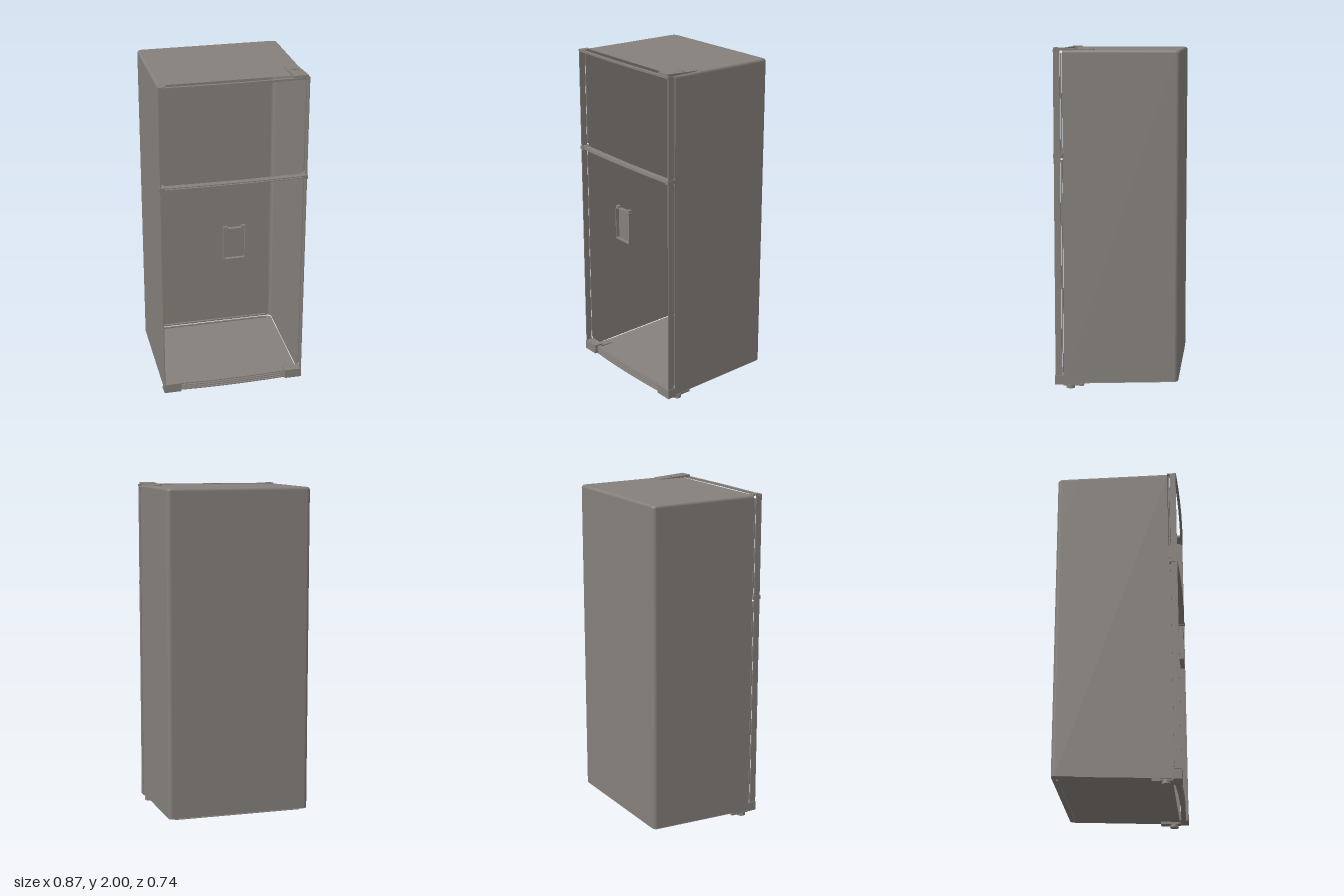
import * as THREE from 'three';

const HALF = 0.43, BACK = -0.368, FRONT = 0.305;
const grey = new THREE.MeshStandardMaterial({ color: 0x85807b, side: THREE.DoubleSide });
grey.name = 'warmGrey';

function add(parent, name, geometry, x = 0, y = 0, z = 0) {
  const mesh = new THREE.Mesh(geometry, grey);
  mesh.name = name;
  mesh.position.set(x, y, z);
  parent.add(mesh);
  return mesh;
}

const box = (w, h, d) => new THREE.BoxGeometry(w, h, d);

// U-shaped outline of the cabinet, open to the front, with round back corners
function outline(inset) {
  const r = 0.024, w = HALF - inset, b = BACK + inset;
  const points = [[-w, FRONT]];
  for (const [cx, start] of [[-w + r, Math.PI], [w - r, 1.5 * Math.PI]]) {
    for (let i = 0; i <= 6; i++) {
      const a = start + (i / 6) * Math.PI / 2;
      points.push([cx + r * Math.cos(a), b + r + r * Math.sin(a)]);
    }
  }
  points.push([w, FRONT]);
  return points;
}

const floorY = (z) => 0.045 - 0.045 * z;

// Thin cabinet walls, lofted upwards and curled in at the top edge
function wallGeometry() {
  const rows = [[null, 0], [1.97, 0], [1.978, 0.002], [1.984, 0.006], [1.986, 0.012]];
  const positions = [], index = [];
  let n = 0;
  for (const [y, inset] of rows) {
    const points = outline(inset);
    n = points.length;
    for (const [x, z] of points) positions.push(x, y ?? floorY(z), z);
  }
  for (let j = 0; j < rows.length - 1; j++) {
    for (let i = 0; i < n - 1; i++) {
      const a = j * n + i;
      index.push(a, a + n, a + 1, a + 1, a + n, a + n + 1);
    }
  }
  const g = new THREE.BufferGeometry();
  g.setAttribute('position', new THREE.Float32BufferAttribute(positions, 3));
  g.setIndex(index);
  g.computeVertexNormals();
  return g;
}

// Flat sheet filling the outline, at a height that may depend on z
function sheetGeometry(inset, height) {
  const shape = new THREE.Shape(outline(inset).map(([x, z]) => new THREE.Vector2(x, -z)));
  const g = new THREE.ShapeGeometry(shape).rotateX(-Math.PI / 2);
  const p = g.attributes.position;
  for (let i = 0; i < p.count; i++) p.setY(i, height(p.getZ(i)));
  g.computeVertexNormals();
  return g;
}

// Cross bar whose front bulges gently in the middle
function bowedBar(width, h, z0, z1, bow = 0.01) {
  const g = new THREE.BoxGeometry(width, h, z1 - z0, 16, 1, 1).translate(0, 0, (z0 + z1) / 2);
  const p = g.attributes.position;
  for (let i = 0; i < p.count; i++) {
    const t = p.getX(i) / (width / 2);
    p.setZ(i, p.getZ(i) + bow * (1 - t * t));
  }
  g.computeVertexNormals();
  return g;
}

function roundedPlate(w, h, r, depth, border) {
  const path = (target, x, y, rr) => {
    target.moveTo(-x + rr, -y);
    target.absarc(x - rr, -y + rr, rr, -Math.PI / 2, 0);
    target.absarc(x - rr, y - rr, rr, 0, Math.PI / 2);
    target.absarc(-x + rr, y - rr, rr, Math.PI / 2, Math.PI);
    target.absarc(-x + rr, -y + rr, rr, Math.PI, 1.5 * Math.PI);
    return target;
  };
  const shape = path(new THREE.Shape(), w / 2, h / 2, r);
  shape.holes.push(path(new THREE.Path(), w / 2 - border, h / 2 - border, r * 0.6));
  return new THREE.ExtrudeGeometry(shape, { depth, bevelEnabled: false, curveSegments: 4 });
}

export function createModel() {
  const model = new THREE.Group();
  model.name = 'refrigerator';

  // Hollow cabinet
  const cabinet = new THREE.Group();
  cabinet.name = 'cabinet';
  model.add(cabinet);
  add(cabinet, 'walls', wallGeometry());
  add(cabinet, 'top', sheetGeometry(0.012, () => 1.986));
  add(cabinet, 'floor', sheetGeometry(0.002, (z) => floorY(z) - 0.004));
  for (let i = 0; i < 3; i++) {
    add(cabinet, 'rearRidge', box(0.78, 0.008, 0.012), 0, 0.05 + i * 0.014, -0.335 - i * 0.01);
  }

  // Door edges: thin side flanges and bowed cross bars
  const doors = new THREE.Group();
  doors.name = 'doorFrame';
  model.add(doors);
  for (const s of [-1, 1]) {
    for (const [y0, y1] of [[0.08, 1.373], [1.387, 1.984]]) {
      add(doors, 'sideFlange', box(0.006, y1 - y0, 0.038), s * 0.43, (y0 + y1) / 2, 0.337);
      add(doors, 'gasketEdge', box(0.006, y1 - y0 - 0.03, 0.008), s * 0.425, (y0 + y1) / 2, 0.312);
    }
    add(doors, 'middleHinge', box(0.03, 0.022, 0.05), s * 0.421, 1.38, 0.335);
  }
  add(doors, 'topBar', bowedBar(0.868, 0.012, 0.342, 0.358), 0, 1.982);
  add(doors, 'upperDoorBottomEdge', bowedBar(0.868, 0.005, 0.318, 0.356), 0, 1.386);
  add(doors, 'lowerDoorTopEdge', bowedBar(0.868, 0.005, 0.318, 0.356), 0, 1.376);

  // Recessed dispenser in the lower door
  const dispenser = new THREE.Group();
  dispenser.name = 'dispenser';
  dispenser.position.set(0, 1.0, 0.342);
  model.add(dispenser);
  add(dispenser, 'rim', roundedPlate(0.134, 0.2, 0.008, 0.025, 0.006));
  add(dispenser, 'recessBack', box(0.124, 0.19, 0.004), 0, 0, 0.002);
  for (const s of [-1, 1]) add(dispenser, 'tab', box(0.026, 0.014, 0.022), s * 0.053, 0.104, 0.012);

  // Top hinge covers
  const hinge = new THREE.Shape();
  hinge.moveTo(0.34, -0.355);
  hinge.lineTo(0.425, -0.355);
  hinge.lineTo(0.42, -0.16);
  hinge.quadraticCurveTo(0.41, -0.125, 0.385, -0.125);
  hinge.quadraticCurveTo(0.335, -0.125, 0.335, -0.16);
  const cover = new THREE.ExtrudeGeometry(hinge, { depth: 0.016, bevelEnabled: false }).rotateX(-Math.PI / 2);
  const p = cover.attributes.position;
  for (let i = 0; i < p.count; i++) {
    if (p.getY(i) > 0.01 && p.getZ(i) < 0.2) p.setY(i, 0.006);
  }
  cover.computeVertexNormals();
  add(model, 'hingeCover', cover, 0, 1.984, 0);
  add(model, 'hingeCoverRib', box(0.05, 0.004, 0.008), 0.38, 1.996, 0.23);
  add(model, 'smallHingeCap', box(0.04, 0.008, 0.055), -0.407, 1.987, 0.33);

  // Base: corner brackets, feet and open grille
  const base = new THREE.Group();
  base.name = 'base';
  model.add(base);
  for (const s of [-1, 1]) {
    add(base, 'cornerBracket', box(0.105, 0.056, 0.055), s * 0.3815, 0.05, 0.331);
    add(base, 'bracketArm', box(0.05, 0.02, 0.12), s * 0.4, 0.026, 0.25);
    add(base, 'foot', new THREE.CylinderGeometry(0.024, 0.026, 0.024, 16), s * 0.405, 0.012, 0.27);
  }
  for (let i = 0; i < 4; i++) {
    add(base, 'grilleSlat', bowedBar(0.66, 0.006, 0.315, 0.342), 0, 0.024 + i * 0.014);
  }
  for (let i = 0; i < 9; i++) {
    add(base, 'grillePost', box(0.006, 0.045, 0.012), (i - 4) * 0.08, 0.045, 0.328);
  }

  return model;
}
